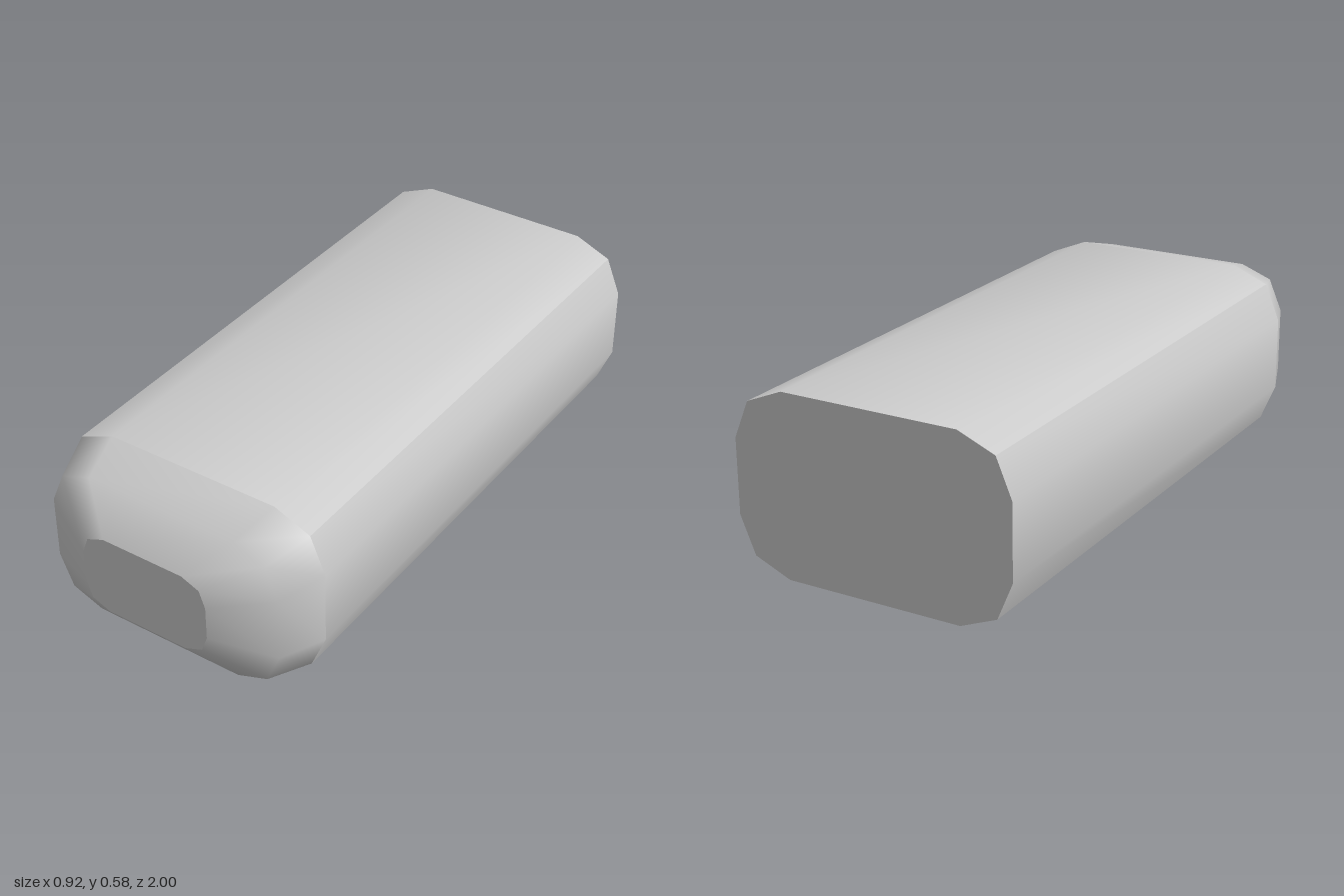
import * as THREE from 'three';
import { toCreasedNormals } from 'three/addons/utils/BufferGeometryUtils.js';

const CENTRE_Y = 0.29;

// Twelve-point rounded rectangle, counter-clockwise, from one quarter's corners
function section(quarter) {
  const q = quarter.map(([x, y]) => new THREE.Vector2(x, y));
  const flip = (sx, sy) => q.map((p) => new THREE.Vector2(p.x * sx, p.y * sy));
  return [...flip(1, 1), ...flip(-1, 1).reverse(), ...flip(-1, -1), ...flip(1, -1).reverse()];
}

// Skin through matching sections, ordered from back to front
function loft(rings) {
  const n = rings[0].points.length;
  const positions = [];
  const index = [];
  rings.forEach(({ points, z }) => points.forEach((p) => positions.push(p.x, p.y, z)));
  for (let r = 0; r < rings.length - 1; r++) {
    for (let i = 0; i < n; i++) {
      const j = (i + 1) % n;
      const a = r * n + i, b = r * n + j;
      index.push(a, b, b + n, a, b + n, a + n);
    }
  }
  const geometry = new THREE.BufferGeometry();
  geometry.setAttribute('position', new THREE.Float32BufferAttribute(positions, 3));
  geometry.setIndex(index);
  geometry.computeVertexNormals();
  return geometry;
}

export function createModel() {
  const group = new THREE.Group();
  group.name = 'roundedBlock';
  const grey = new THREE.MeshStandardMaterial({ color: 0xcccccc });
  grey.name = 'light grey';

  const add = (name, geometry) => {
    const mesh = new THREE.Mesh(geometry, grey);
    mesh.name = name;
    mesh.position.y = CENTRE_Y;
    group.add(mesh);
  };

  const full = section([[0.46, 0.12], [0.41, 0.24], [0.29, 0.29]]);
  const shoulder = section([[0.405, 0.105], [0.36, 0.21], [0.255, 0.25]]);
  const tip = section([[0.22, 0.055], [0.2, 0.11], [0.14, 0.135]]);

  // Long body: soft across each side, sharp along the four corner edges
  add('body', toCreasedNormals(loft([{ points: full, z: -1 }, { points: full, z: 0.76 }]), 0.6));

  // Smooth tapered nose
  add('nose', loft([
    { points: full, z: 0.76 },
    { points: shoulder, z: 0.91 },
    { points: tip, z: 1 },
  ]));

  // Flat end faces
  add('frontFace', new THREE.ShapeGeometry(new THREE.Shape(tip)).translate(0, 0, 1));
  add('backFace', new THREE.ShapeGeometry(new THREE.Shape(full)).rotateY(Math.PI).translate(0, 0, -1));

  return group;
}
